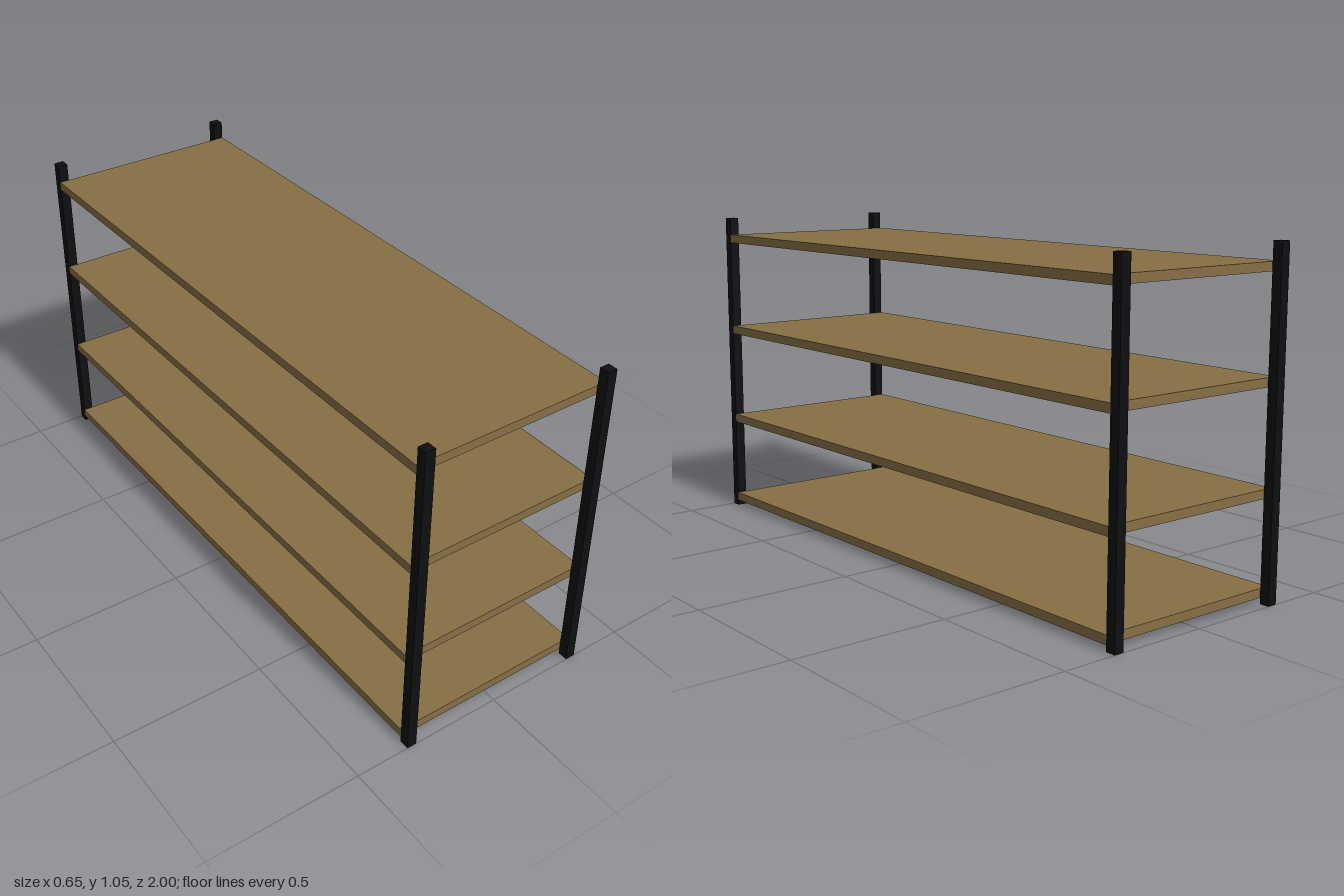
import * as THREE from 'three';

const WIDTH = 0.65, LENGTH = 2, HEIGHT = 1.05;
const POST = 0.032, BOARD = 0.028;
const SHELF_HEIGHTS = [0.033, 0.327, 0.651, 0.978];

export function createModel() {
  const group = new THREE.Group();
  group.name = 'shelvingUnit';

  const wood = new THREE.MeshStandardMaterial({ color: 0x866f44 });
  const black = new THREE.MeshStandardMaterial({ color: 0x0e0f10 });

  const addBox = (name, material, size, position) => {
    const mesh = new THREE.Mesh(new THREE.BoxGeometry(...size), material);
    mesh.name = name;
    mesh.position.set(...position);
    group.add(mesh);
  };

  // Corner posts, standing against the ends of the shelves
  for (const [side, sx] of [['Left', 1], ['Right', -1]]) {
    for (const [end, sz] of [['front', 1], ['back', -1]]) {
      addBox(`${end}${side}Post`, black, [POST, HEIGHT, POST],
        [sx * (WIDTH - POST) / 2, HEIGHT / 2, sz * (LENGTH - POST) / 2]);
    }
  }

  // Shelf boards, spanning between the front and back posts
  SHELF_HEIGHTS.forEach((y, i) => {
    addBox(`shelf${i + 1}`, wood, [WIDTH, BOARD, LENGTH - 2 * POST], [0, y, 0]);
  });

  return group;
}
